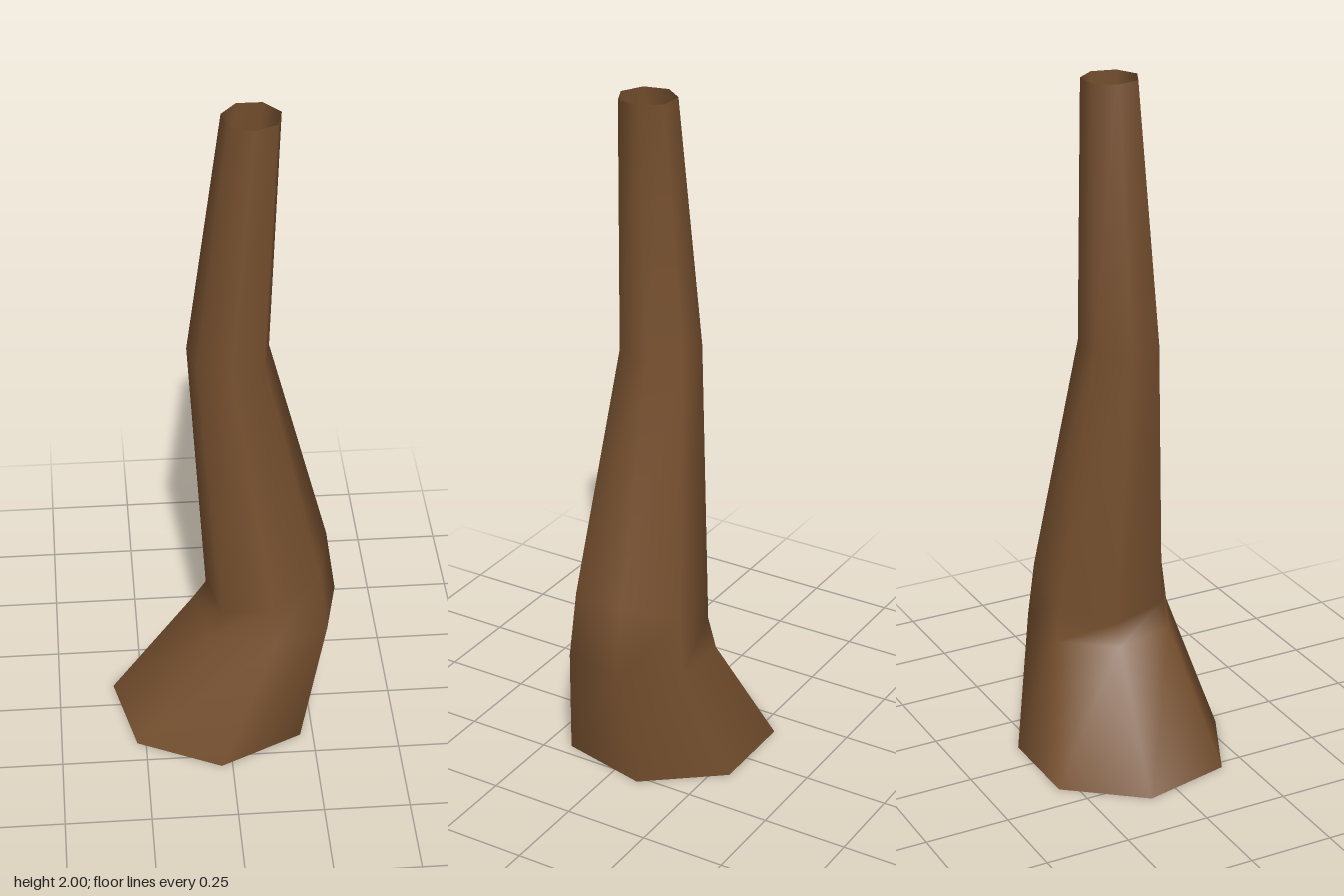
import * as THREE from 'three';
import { mergeVertices } from 'three/addons/utils/BufferGeometryUtils.js';

const SIDES = 7;

// Rings from top to bottom: centre x, y, z, radius and tilt (rise per unit of x)
const RINGS = [
  { x: 0.07, y: 2.0, z: -0.005, r: 0.082, tilt: 0 },
  { x: 0.01, y: 1.268, z: -0.007, r: 0.118, tilt: 0 },
  { x: 0.125, y: 0.5, z: -0.01, r: 0.2, tilt: Math.atan2(0.16, 0.36) },
  { x: 0.122, y: 0.366, z: -0.011, r: 0.217, tilt: 0.02 },
  { x: -0.032, y: 0, z: -0.018, r: 0.312, tilt: 0 },
];

// Open seven-sided tube whose rows are moved onto the rings
function bentTube() {
  let geometry = new THREE.CylinderGeometry(1, 1, 1, SIDES, RINGS.length - 1, true);
  const p = geometry.attributes.position;
  for (let i = 0; i < p.count; i++) {
    const ring = RINGS[Math.floor(i / (SIDES + 1))];
    const dx = p.getX(i) * ring.r;
    const dz = p.getZ(i) * ring.r;
    p.setXYZ(i,
      ring.x + dx * Math.cos(ring.tilt),
      ring.y + dx * Math.sin(ring.tilt),
      ring.z + dz);
  }
  // Weld the seam so the shading runs smoothly all round
  geometry.deleteAttribute('uv');
  geometry.deleteAttribute('normal');
  geometry = mergeVertices(geometry, 1e-4);
  geometry.computeVertexNormals();
  return geometry;
}

export function createModel() {
  const group = new THREE.Group();
  group.name = 'treeTrunk';

  const bark = new THREE.MeshStandardMaterial({ color: 0x76502f, side: THREE.DoubleSide });
  bark.name = 'barkBrown';

  const trunk = new THREE.Mesh(bentTube(), bark);
  trunk.name = 'trunk';
  group.add(trunk);
  return group;
}
